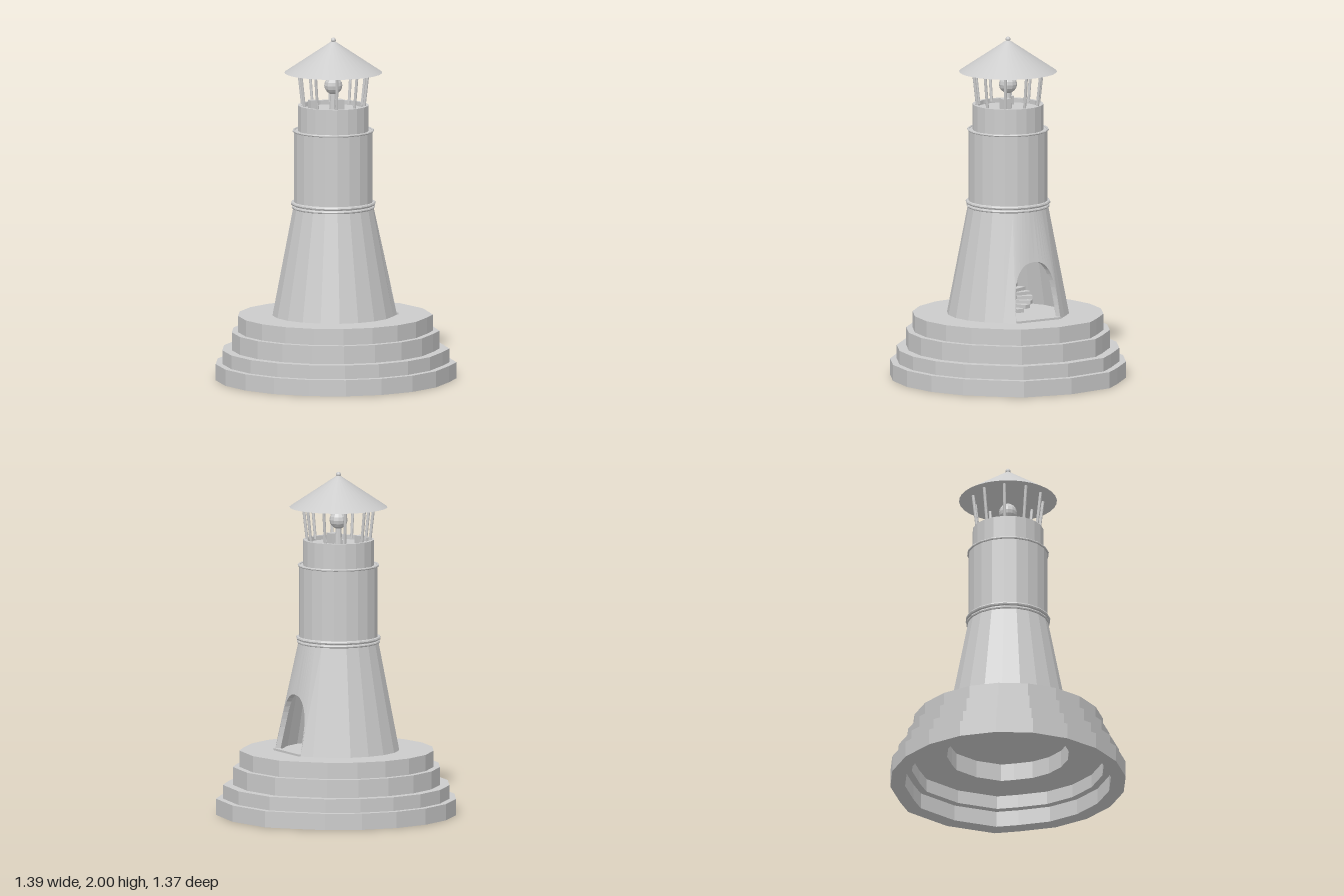
import * as THREE from 'three';

const grey = new THREE.MeshStandardMaterial({ color: 0xcccccc, flatShading: true, side: THREE.DoubleSide });
const smooth = new THREE.MeshStandardMaterial({ color: 0xcccccc, side: THREE.DoubleSide });
const rad = THREE.MathUtils.degToRad;
const polar = (a, r, y) => [r * Math.cos(a), y, -r * Math.sin(a)];

// Skin a list of closed point rows into a faceted surface
function loft(rows) {
  const pos = [];
  for (let i = 0; i + 1 < rows.length; i++) {
    const a = rows[i], b = rows[i + 1], n = a.length;
    for (let j = 0; j < n; j++) {
      const k = (j + 1) % n;
      pos.push(...a[j], ...a[k], ...b[k], ...a[j], ...b[k], ...b[j]);
    }
  }
  const g = new THREE.BufferGeometry();
  g.setAttribute('position', new THREE.Float32BufferAttribute(pos, 3));
  g.computeVertexNormals();
  return g;
}

// Twenty-sided outline, slightly widened on the doorway side
function plinthRow(r, y) {
  const row = [];
  for (let i = 0; i < 20; i++) {
    if (i === 1) row.push(polar(rad(24), r * 1.04, y));
    else if (i === 19) row.push(polar(rad(-24), r * 1.04, y));
    else row.push(polar(rad(i * 18), i === 0 ? r * 1.027 : r, y));
  }
  return row;
}

// Tapered wall, its lower edge rising over an arched doorway
function towerWall() {
  const y0 = 0.375, y1 = 1.0, r0 = 0.355, r1 = 0.235, thick = 0.03;
  const radiusAt = y => r0 + (r1 - r0) * (y - y0) / (y1 - y0);
  const cols = [];
  const N = 20;
  for (let i = 0; i <= N; i++) {
    const t = Math.PI * i / N;
    const c = i === 0 || i === N ? Math.sign(Math.cos(t)) : Math.cos(t);
    const s = i === 0 || i === N ? 0 : Math.sin(t);
    const z = -0.15 * Math.sign(c) * Math.abs(c) ** 0.8;
    const y = y0 + 0.34 * s ** 0.8;
    const r = radiusAt(y) * (1 + 0.04 * Math.abs(c));
    cols.push({ a: Math.asin(z / r), y, r });
  }
  for (let d = 36; d <= 324; d += 18) cols.push({ a: rad(d), y: y0, r: r0 });
  const bottom = t => cols.map(c => polar(c.a, c.r - t, c.y));
  const top = t => cols.map(c => polar(c.a, r1 - t, y1));
  return loft([bottom(0), top(0), top(thick), bottom(thick), bottom(0)]);
}

export function createModel() {
  const model = new THREE.Group();
  model.name = 'lighthouse';
  const body = new THREE.Group();
  body.name = 'body';
  body.position.x = -0.011;
  model.add(body);

  const add = (name, geo, x = 0, y = 0, z = 0, mat = grey, parent = body) => {
    const m = new THREE.Mesh(geo, mat);
    m.name = name;
    m.position.set(x, y, z);
    parent.add(m);
    return m;
  };
  const lathe = (pts, n = 20) => new THREE.LatheGeometry(pts.map(p => new THREE.Vector2(...p)), n);

  // Stepped plinth, hollow underneath: outer radius, inner radius, bottom, top
  [[0.686, 0.6, 0, 0.095], [0.647, 0.56, 0.095, 0.175],
   [0.592, 0.355, 0.175, 0.28], [0.555, 0, 0.28, 0.375]].forEach(([ro, ri, b, t], i) => {
    add('plinthStep' + (i + 1), loft([plinthRow(ro, b), plinthRow(ro, t),
      plinthRow(ri, t), plinthRow(ri, b), plinthRow(ro, b)]));
  });

  // Tower
  add('towerWall', towerWall());
  add('doorSill', new THREE.BoxGeometry(0.035, 0.012, 0.3), 0.33, 0.381, 0);
  add('upperWall', lathe([[0.229, 1.0], [0.229, 1.455], [0.2, 1.455], [0.2, 1.0], [0.229, 1.0]]));
  add('galleryDrum', lathe([[0.2, 1.45], [0.206, 1.45], [0.206, 1.605], [0.185, 1.605],
    [0.185, 1.58], [0, 1.58]]));

  // Moulding rings
  [[1.008, 0.234, 0.009], [1.03, 0.236, 0.011], [1.455, 0.231, 0.007]].forEach(([y, r, t]) => {
    add('mouldingRing', new THREE.TorusGeometry(r, t, 8, 20), 0, y, 0).rotation.x = Math.PI / 2;
  });

  // Spiral stair inside the tower
  const stair = new THREE.Group();
  stair.name = 'spiralStair';
  body.add(stair);
  const stepGeo = new THREE.BoxGeometry(0.09, 0.022, 0.045);
  for (let i = 0; i < 60; i++) {
    const a = i / 16 * Math.PI * 2;
    const [x, , z] = polar(a, 0.095, 0);
    add('stairStep', stepGeo, x, 0.405 + i * 0.0186, z, grey, stair).rotation.y = a;
  }

  // Lantern posts leaning outward
  const up = new THREE.Vector3(0, 1, 0);
  for (let i = 0; i < 10; i++) {
    const a = rad(i * 36);
    const p = new THREE.Vector3(...polar(a, 0.182, 1.59));
    const q = new THREE.Vector3(...polar(a, 0.207, 1.81));
    const mid = p.clone().add(q).multiplyScalar(0.5);
    const post = add('lanternPost', new THREE.CylinderGeometry(0.009, 0.009, p.distanceTo(q), 8),
      mid.x, mid.y, mid.z);
    post.quaternion.setFromUnitVectors(up, q.sub(p).normalize());
  }

  // Lamp on its stand, with small housings on the floor
  add('lampStand', new THREE.CylinderGeometry(0.016, 0.024, 0.1, 10), 0, 1.63, 0);
  add('lamp', new THREE.SphereGeometry(0.053, 12, 8), 0, 1.72, 0);
  add('lampHousing', new THREE.BoxGeometry(0.04, 0.06, 0.04), -0.1, 1.6, -0.07);
  add('lampHousing', new THREE.BoxGeometry(0.05, 0.06, 0.05), 0.02, 1.61, 0.03);

  // Conical roof and finial
  add('roof', new THREE.ConeGeometry(0.284, 0.19, 32, 1, true), 0, 1.89, 0, smooth);
  add('finial', new THREE.SphereGeometry(0.015, 12, 8), 0, 1.985, 0, smooth);

  return model;
}
